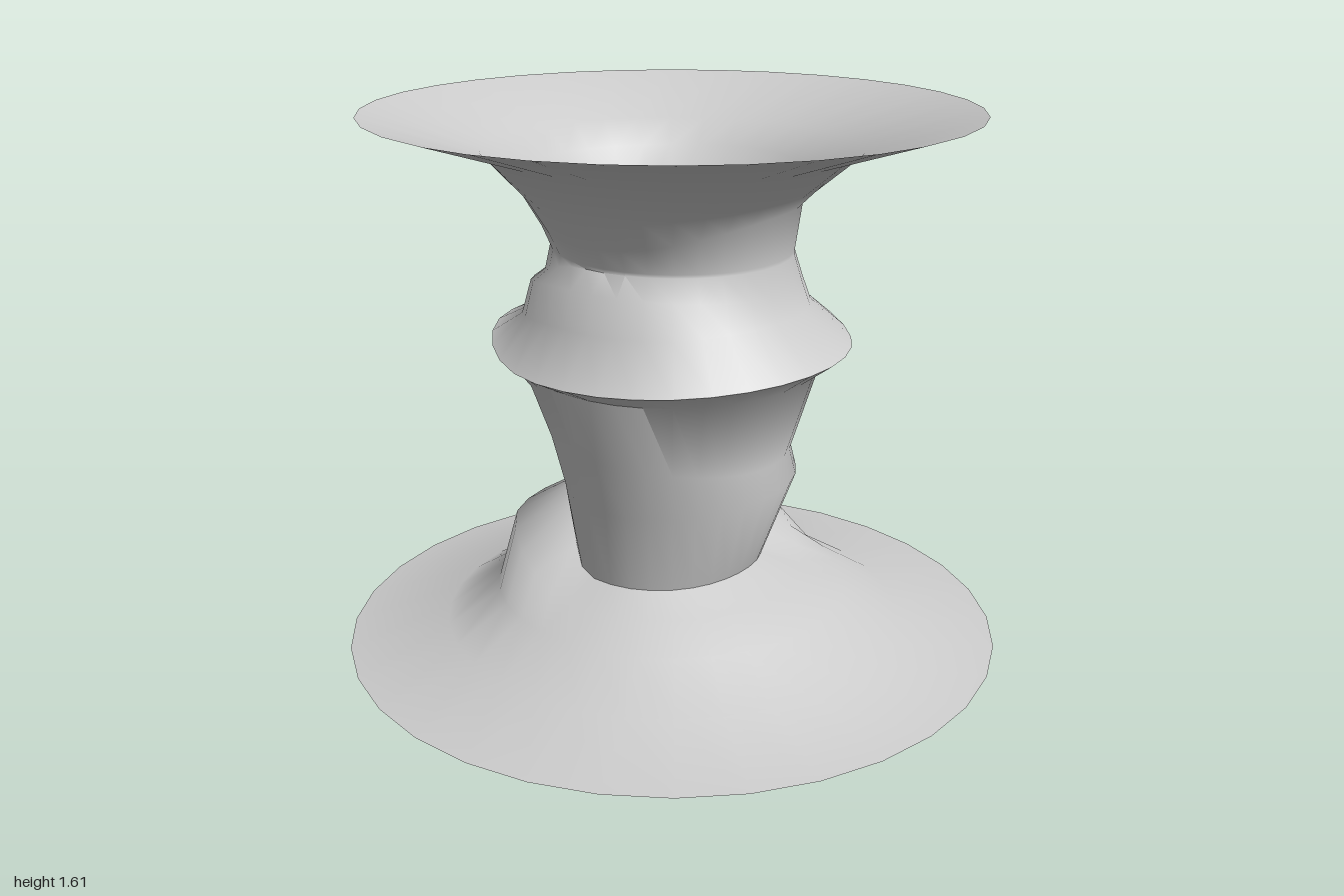
import * as THREE from 'three';
import { toCreasedNormals } from 'three/addons/utils/BufferGeometryUtils.js';

// Profiles [radius, height] from foot rim to top rim, one for each side.
const foot = [[1, 0], [0.7, 0.05], [0.54, 0.15]];
const flare = [[0.55, 1.5], [0.89, 1.61]];
const front = [...foot, [0.43, 0.2], [0.33, 0.25], [0.35, 0.48], [0.39, 0.65], [0.42, 0.85], [0.535, 0.91],
  [0.42, 1.04], [0.4, 1.15], [0.34, 1.2], [0.34, 1.21], [0.37, 1.27], [0.43, 1.36], ...flare];
const left = [...foot, [0.4, 0.2], [0.28, 0.25], [0.38, 0.52], [0.36, 0.6], [0.44, 0.86], [0.535, 0.93],
  [0.41, 1.05], [0.385, 1.12], [0.36, 1.2], [0.36, 1.21], [0.38, 1.35], [0.43, 1.4], ...flare];
const back = [...foot, [0.44, 0.32], [0.3, 0.47], [0.32, 0.58], [0.34, 0.7], [0.45, 0.8], [0.535, 0.98],
  [0.45, 1.01], [0.42, 1.1], [0.37, 1.14], [0.38, 1.23], [0.34, 1.29], [0.46, 1.43], ...flare];
const right = [...foot, [0.5, 0.33], [0.27, 0.47], [0.33, 0.6], [0.37, 0.72], [0.43, 0.77], [0.535, 0.96],
  [0.45, 1.0], [0.42, 1.1], [0.38, 1.13], [0.36, 1.22], [0.39, 1.3], [0.46, 1.43], ...flare];

// Each quarter turn blends one profile into the next between two fractions.
const quarters = [
  { from: front, to: left, start: 0, end: 1 },
  { from: left, to: back, start: 0.35, end: 1 },
  { from: back, to: right, start: 0, end: 1 },
  { from: right, to: front, start: 0.2, end: 0.85 },
];

export function createModel() {
  const group = new THREE.Group();
  group.name = 'twistedStand';

  const segments = 32;
  const rows = front.length;
  let geometry = new THREE.LatheGeometry(front.map(([r, y]) => new THREE.Vector2(r, y)), segments);
  const position = geometry.attributes.position;

  // Reshape the turned shell so its neck and collar shift around the axis.
  for (let i = 0; i <= segments; i++) {
    const turn = (i % segments) / segments;
    const q = quarters[Math.floor(turn * 4)];
    const t = THREE.MathUtils.smoothstep((turn * 4) % 1, q.start, q.end);
    const angle = turn * Math.PI * 2;
    for (let j = 0; j < rows; j++) {
      const r = THREE.MathUtils.lerp(q.from[j][0], q.to[j][0], t);
      const y = THREE.MathUtils.lerp(q.from[j][1], q.to[j][1], t);
      position.setXYZ(i * rows + j, r * Math.sin(angle), y, r * Math.cos(angle));
    }
  }
  geometry = toCreasedNormals(geometry, THREE.MathUtils.degToRad(50));

  const shell = new THREE.Mesh(geometry,
    new THREE.MeshStandardMaterial({ color: 0xcccccc, side: THREE.DoubleSide }));
  shell.name = 'flaredShell';
  group.add(shell);
  return group;
}
